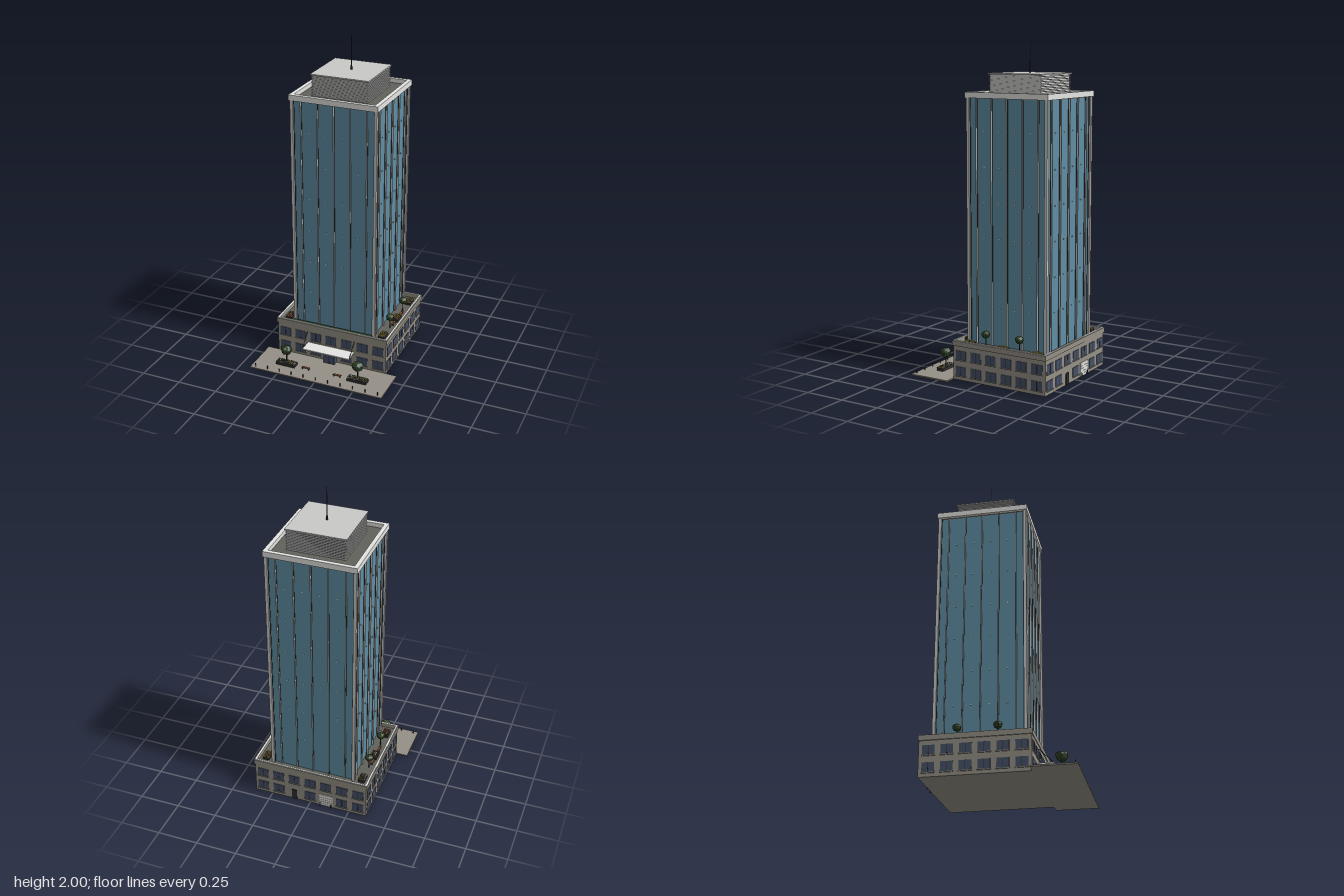
import * as THREE from 'three';
import { mergeGeometries } from 'three/addons/utils/BufferGeometryUtils.js';

const mat = (name, color) => Object.assign(new THREE.MeshStandardMaterial({ color }), { name });

export function createModel() {
  const white = mat('white', 0xe4e4e2), light = mat('lightGrey', 0xc9c9c8), concrete = mat('concrete', 0x959086),
    asphalt = mat('roofGrey', 0x62625c), glass = mat('towerGlass', 0x5f8ea3), darkGlass = mat('windowGlass', 0x455066),
    metal = mat('darkMetal', 0x2f2f31), leaf = mat('foliage', 0x2c4024), wood = mat('wood', 0x85502f),
    yellow = mat('yellowFlower', 0xa8922c);
  const root = new THREE.Group();
  root.name = 'officeTower';

  const add = (parent, name, geo, m, x = 0, y = 0, z = 0) => {
    const o = new THREE.Mesh(geo, m);
    o.name = name;
    o.position.set(x, y, z);
    parent.add(o);
    return o;
  };
  // Box given by centre x/z, bottom y and size
  const box = (parent, name, m, x, y, z, w, h, d) =>
    add(parent, name, new THREE.BoxGeometry(w, h, d), m, x, y + h / 2, z);
  const group = (parent, name, x = 0, y = 0, z = 0, turn = 0) => {
    const g = new THREE.Group();
    g.name = name;
    g.position.set(x, y, z);
    g.rotation.y = turn;
    parent.add(g);
    return g;
  };
  // Rectangular frame lying flat, with an open middle
  const ring = (name, m, z, y, hx, hz, t, h) => {
    const rect = (s, a, b) => s.moveTo(-a, -b).lineTo(a, -b).lineTo(a, b).lineTo(-a, b).closePath();
    const s = rect(new THREE.Shape(), hx, hz);
    s.holes.push(rect(new THREE.Path(), hx - t, hz - t));
    const geo = new THREE.ExtrudeGeometry(s, { depth: h, bevelEnabled: false }).rotateX(-Math.PI / 2);
    return add(root, name, geo, m, 0, y, z);
  };

  // Plaza and podium
  const PZ = -0.1275, TZ = -0.125, ROOF = 0.208;
  box(root, 'plaza', concrete, 0, 0, 0.312, 0.864, 0.008, 0.256);
  box(root, 'podium', concrete, 0, 0, PZ, 0.72, ROOF, 0.625);
  box(root, 'podiumRoof', asphalt, 0, ROOF, PZ, 0.71, 0.003, 0.615);
  ring('podiumParapet', concrete, PZ, 0.206, 0.367, 0.3165, 0.016, 0.03);
  ring('parapetCoping', white, PZ, 0.236, 0.362, 0.3115, 0.011, 0.003);

  // Podium facades: two rows of windows, with doors left free
  for (let i = 0; i < 4; i++) {
    const along = i % 2 === 0, n = along ? 7 : 6, d = along ? 0.3125 : 0.36;
    const side = group(root, 'podiumFacade', 0, 0, PZ, i * Math.PI / 2);
    for (let k = 0; k < n; k++) {
      const c = k - (n - 1) / 2, x = c * 0.103;
      for (const row of [0, 1]) {
        if (row === 0 && ((i === 0 && c === 0) || (i === 2 && Math.abs(c) === 1))) continue;
        const y = row ? 0.123 : 0.026;
        box(side, 'window', darkGlass, x, y, d, 0.07, 0.056, 0.006);
        box(side, 'windowMullion', metal, x, y, d + 0.001, 0.003, 0.056, 0.006);
        box(side, 'windowSill', concrete, x, y - 0.005, d, 0.076, 0.005, 0.014);
      }
    }
    if (i === 2) {
      // Loading door and service door
      box(side, 'loadingDoor', white, 0.103, 0.004, d, 0.088, 0.082, 0.008);
      for (let k = 1; k < 5; k++) box(side, 'loadingDoorRib', light, 0.103, k * 0.016, d + 0.004, 0.084, 0.003, 0.003);
      for (const s of [-1, 1]) box(side, 'doorBollard', metal, 0.103 + s * 0.035, 0, d + 0.008, 0.006, 0.025, 0.006);
      box(side, 'serviceDoor', metal, -0.103, 0.002, d, 0.034, 0.07, 0.008);
    }
  }

  // Entrance lobby and canopy
  box(root, 'entranceLobby', darkGlass, 0, 0.006, 0.201, 0.07, 0.068, 0.034);
  for (const x of [-0.034, 0, 0.034]) box(root, 'entranceFrame', metal, x, 0.006, 0.218, 0.004, 0.07, 0.004);
  box(root, 'entranceHeader', metal, 0, 0.074, 0.202, 0.074, 0.005, 0.037);
  box(root, 'canopy', white, 0, 0.1, 0.229, 0.31, 0.008, 0.088);
  for (const s of [-1, 1]) {
    const rod = new THREE.LineCurve3(new THREE.Vector3(s * 0.156, 0.106, 0.268), new THREE.Vector3(s * 0.156, 0.185, 0.186));
    add(root, 'canopyRod', new THREE.TubeGeometry(rod, 1, 0.002, 6), metal);
  }

  // Glass tower with fins, corner posts and small facade lights
  box(root, 'towerGlass', glass, 0, ROOF, TZ, 0.51, 1.45, 0.51);
  for (let i = 0; i < 4; i++) {
    const side = group(root, 'towerFacade', 0, 0, TZ, i * Math.PI / 2);
    for (let k = -2; k <= 2; k++) {
      box(side, 'finBacking', metal, k * 0.1025, ROOF, 0.256, 0.008, 1.45, 0.006);
      box(side, 'fin', light, k * 0.1025, ROOF, 0.262, 0.004, 1.45, 0.01);
    }
    for (const s of [-1, 1]) box(side, 'cornerJoint', metal, s * 0.249, ROOF, 0.256, 0.004, 1.45, 0.006);
    box(side, 'cornerPost', light, 0.26, ROOF, 0.26, 0.018, 1.45, 0.018);
    for (let r = 0; r < 6; r++)
      for (const x of [-0.155, -0.052, 0.052, 0.155])
        box(side, 'facadeLight', white, x, 0.432 + r * 0.2065, 0.257, 0.006, 0.006, 0.006);
  }

  // Tower roof, louvred plant room and mast
  ring('roofParapet', white, TZ, 1.656, 0.275, 0.275, 0.025, 0.034);
  box(root, 'towerRoof', asphalt, 0, 1.65, TZ, 0.51, 0.014, 0.51);
  box(root, 'plantRoom', light, 0, 1.66, TZ, 0.338, 0.13, 0.338);
  for (let k = 0; k < 13; k++) box(root, 'louvre', light, 0, 1.667 + k * 0.0094, TZ, 0.35, 0.004, 0.35);
  box(root, 'plantRoomRoof', light, 0, 1.789, TZ, 0.36, 0.008, 0.36);
  add(root, 'mastFoot', new THREE.CylinderGeometry(0.005, 0.006, 0.025, 8), metal, 0, 1.809, TZ);
  add(root, 'mastLower', new THREE.CylinderGeometry(0.003, 0.004, 0.07, 8), metal, 0, 1.832, TZ);
  add(root, 'mast', new THREE.CylinderGeometry(0.0015, 0.003, 0.14, 8), metal, 0, 1.93, TZ);

  // Lumpy tree: trunk and faceted crown
  const tree = (x, y, z, r, h, seed) => {
    const t = group(root, 'tree', x, y, z, seed);
    add(t, 'trunk', new THREE.CylinderGeometry(r * 0.09, r * 0.13, h, 6), metal, 0, h / 2, 0);
    const crown = new THREE.IcosahedronGeometry(r, 2), p = crown.attributes.position, v = new THREE.Vector3();
    for (let i = 0; i < p.count; i++) {
      v.fromBufferAttribute(p, i);
      const f = 1 + 0.09 * Math.sin(v.x / r * 5 + seed) * Math.cos(v.z / r * 4 + seed * 2) + 0.05 * Math.sin(v.y / r * 6);
      p.setXYZ(i, v.x * f, v.y * f * 0.88, v.z * f);
    }
    crown.computeVertexNormals();
    add(t, 'crown', crown, leaf, 0, h, 0);
  };

  // Planter filled with rows of flowers, one mesh per colour
  let seed = 7;
  const rand = () => (seed = (seed * 16807) % 2147483647) / 2147483647;
  const planter = (x, y, z, w, d, h, colours) => {
    const g = group(root, 'planter', x, y, z);
    box(g, 'planterBox', metal, 0, 0, 0, w, h, d);
    const nx = Math.round(w / 0.0105), nz = Math.round(d / 0.0105), sets = colours.map(() => []);
    for (let i = 0; i < nx; i++)
      for (let j = 0; j < nz; j++) {
        const b = new THREE.IcosahedronGeometry(0.0045 + rand() * 0.0012, 0);
        b.translate(((i + 0.5) / nx - 0.5) * w, h + 0.002 + rand() * 0.002, ((j + 0.5) / nz - 0.5) * d);
        sets[Math.floor(rand() * colours.length)].push(b);
      }
    sets.forEach((s, i) => s.length && add(g, 'flowers', mergeGeometries(s), colours[i]));
  };

  // Slatted bench on two legs
  const bench = (x, y, z, len, turn) => {
    const b = group(root, 'bench', x, y, z, turn);
    for (const k of [-1, 0, 1]) box(b, 'benchSlat', wood, 0, 0.011, k * 0.0052, len, 0.003, 0.0045);
    for (const s of [-1, 1]) box(b, 'benchLeg', metal, s * len * 0.4, 0, 0, 0.003, 0.011, 0.014);
  };

  // Planting and seating, mirrored left and right
  for (const s of [-1, 1]) {
    planter(s * 0.236, 0.008, 0.328, 0.124, 0.045, 0.017, [light, yellow, leaf, darkGlass, leaf]);
    tree(s * 0.236, 0.02, 0.326, 0.034, 0.092, 1 + s);
    bench(s * 0.104, 0.008, 0.333, 0.05, 0);
    for (const z of [-0.357, -0.128, 0.102])
      planter(s * 0.31, ROOF, z, 0.04, 0.066, 0.018, s < 0 ? [wood, light, wood, leaf] : [yellow, wood, yellow, leaf]);
    for (const z of [-0.24, -0.012]) tree(s * 0.31, ROOF, z, 0.025, 0.08, 3 + s + z * 9);
    for (const z of [-0.192, -0.062]) bench(s * 0.317, ROOF + 0.003, z, 0.046, Math.PI / 2);
  }
  box(root, 'hedge', leaf, 0, ROOF, 0.161, 0.514, 0.026, 0.018);

  // Bollards along the plaza edge
  for (let k = -5; k <= 5; k++)
    add(root, 'bollard', new THREE.CylinderGeometry(0.0028, 0.0028, 0.024, 8), metal, k * 0.0805, 0.018, 0.421);

  return root;
}
